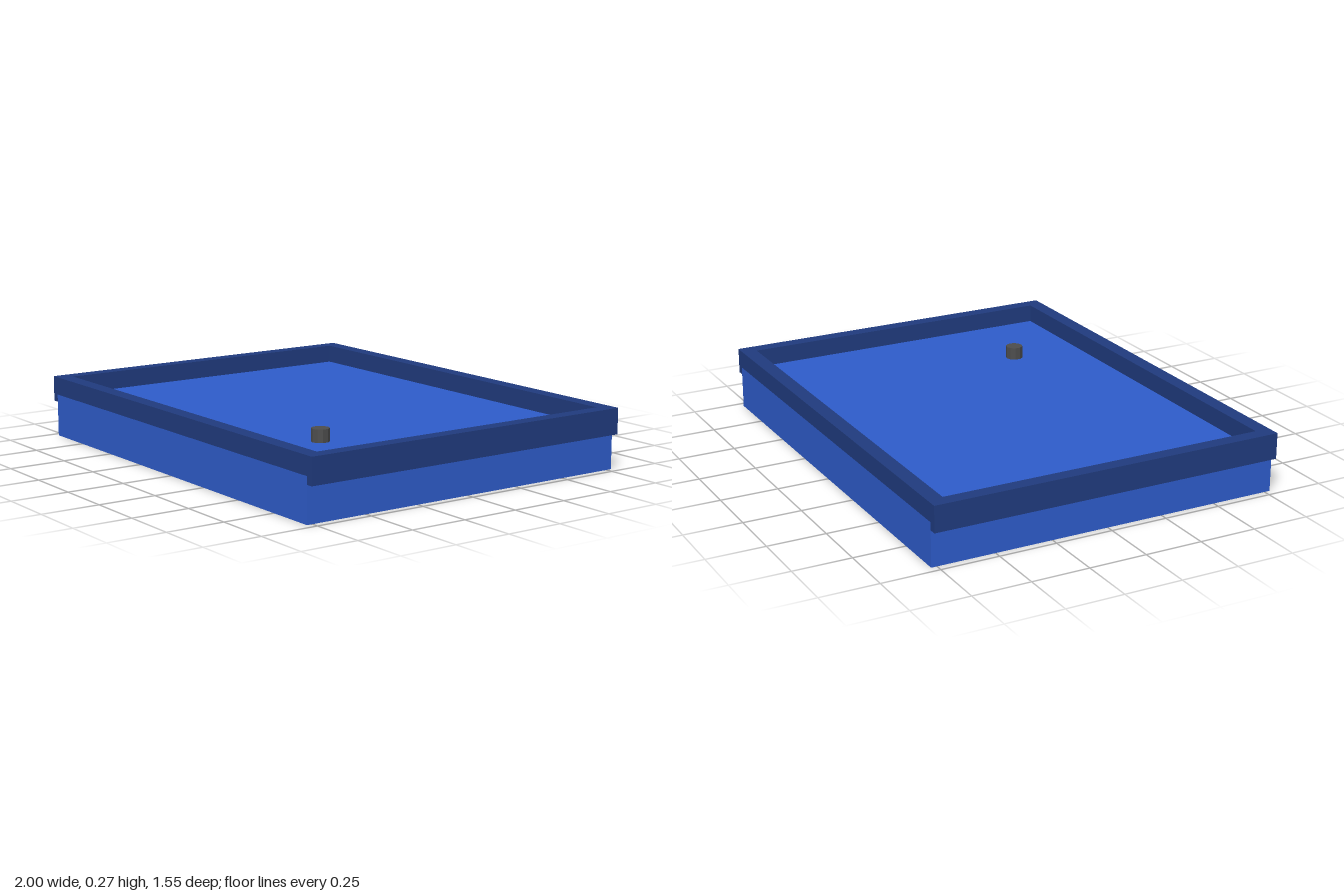
import * as THREE from 'three';

export function createModel() {
  const group = new THREE.Group();
  const blue = new THREE.MeshStandardMaterial({ name: 'blue', color: 0x2e5cca });
  const navy = new THREE.MeshStandardMaterial({ name: 'navy', color: 0x203b7e });
  const grey = new THREE.MeshStandardMaterial({ name: 'grey', color: 0x4d4d4d, flatShading: true });

  const add = (name, geometry, material, x, y, z) => {
    const mesh = new THREE.Mesh(geometry, material);
    mesh.name = name;
    mesh.position.set(x, y, z);
    group.add(mesh);
    return mesh;
  };

  const depth = 1.55, bodyTop = 0.187, rimTop = 0.266, skirtBottom = 0.154;

  // Body slab; its top is the recessed floor
  add('body', new THREE.BoxGeometry(1.936, bodyTop, depth), blue, 0, bodyTop / 2, 0);

  // Raised rectangular rim
  const rect = (Type, w, d) => new Type([[-w, -d], [w, -d], [w, d], [-w, d]].map(([x, y]) => new THREE.Vector2(x, y)));
  const frame = rect(THREE.Shape, 1, depth / 2);
  frame.holes.push(rect(THREE.Path, 0.94, 0.71));
  const rim = new THREE.ExtrudeGeometry(frame, { depth: rimTop - bodyTop, bevelEnabled: false });
  rim.rotateX(-Math.PI / 2);
  add('rim', rim, navy, 0, bodyTop, 0);

  // Rim overhang hanging down both sides of the body
  for (const side of [-1, 1]) {
    add(side > 0 ? 'leftSkirt' : 'rightSkirt',
      new THREE.BoxGeometry(0.032, bodyTop - skirtBottom, depth), navy,
      side * 0.984, (bodyTop + skirtBottom) / 2, 0);
  }

  // Small knob on the floor
  add('knob', new THREE.CylinderGeometry(0.038, 0.038, 0.055, 10), grey, 0.512, bodyTop + 0.0275, 0.387);

  return group;
}
